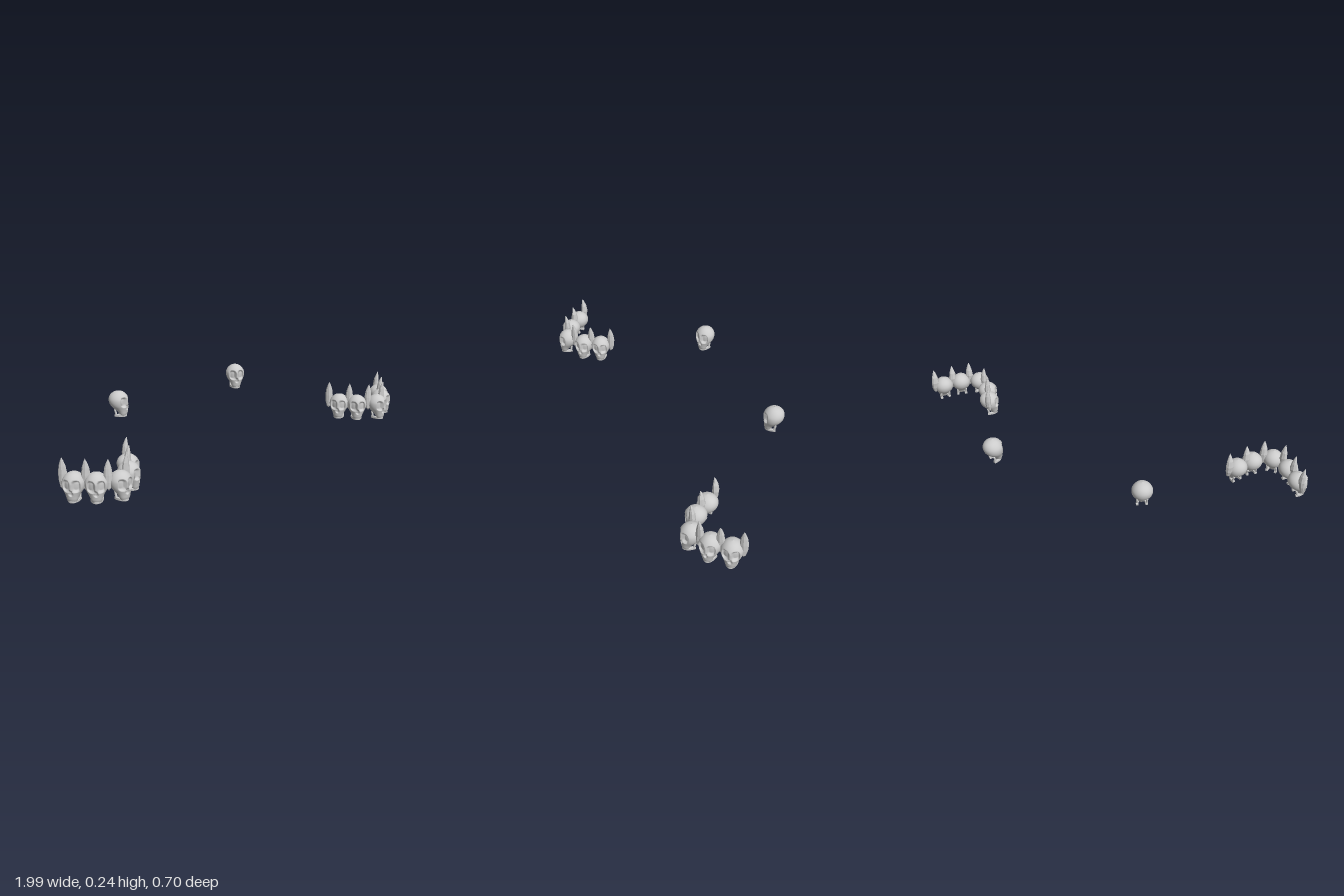
import * as THREE from 'three';

const bone = new THREE.MeshStandardMaterial({ color: 0xcccccc, side: THREE.DoubleSide });
const horn = new THREE.MeshStandardMaterial({ color: 0xcccccc, flatShading: true });

// Skull sections: height, half width, front z, back z
const SECTIONS = [
  [0.003, 0.018, 0.035, 0.008], [0.015, 0.023, 0.04, 0.002], [0.028, 0.028, 0.042, -0.008],
  [0.04, 0.035, 0.044, -0.026], [0.054, 0.043, 0.046, -0.04], [0.07, 0.047, 0.047, -0.047],
  [0.086, 0.046, 0.046, -0.048], [0.103, 0.037, 0.036, -0.041], [0.116, 0.022, 0.021, -0.025],
  [0.123, 0.001, 0, -0.002],
];

// Depth of a rounded hollow centred at cx, cy
function hollow(x, y, cx, cy, rx, ry) {
  const d = Math.pow(Math.abs((x - cx) / rx), 3) + Math.pow(Math.abs((y - cy) / ry), 3);
  return 1 - THREE.MathUtils.smoothstep(d, 0.5, 1.5);
}

function skullGeometry() {
  const rings = 40, sides = 64, pos = [], idx = [];
  const widths = new THREE.CatmullRomCurve3(SECTIONS.map(s => new THREE.Vector3(s[1], s[0], s[2])));
  const backs = new THREE.CatmullRomCurve3(SECTIONS.map(s => new THREE.Vector3(s[3], s[0], 0)));
  for (let i = 0; i <= rings; i++) {
    const p = widths.getPoint(i / rings), b = backs.getPoint(i / rings);
    const mid = (p.z + b.x) / 2, depth = (p.z - b.x) / 2;
    for (let j = 0; j < sides; j++) {
      const a = j / sides * Math.PI * 2;
      const x = p.x * Math.sin(a), y = p.y;
      let z = mid + depth * Math.cos(a);
      if (Math.cos(a) > 0) {
        // Eye sockets, nose and the groove between the brows
        z -= 0.015 * hollow(Math.abs(x), y, 0.02, 0.072, 0.014, 0.021);
        z -= 0.008 * hollow(x, y, 0, 0.044, 0.007, 0.011);
      }
      pos.push(x, y, z);
    }
  }
  for (let i = 0; i < rings; i++) for (let j = 0; j < sides; j++) {
    const k = (j + 1) % sides, a = i * sides + j, b = i * sides + k;
    idx.push(a, b, a + sides, b, b + sides, a + sides);
  }
  // Close the bottom
  const c = pos.length / 3;
  pos.push(0, 0.003, 0.021);
  for (let j = 0; j < sides; j++) idx.push(c, (j + 1) % sides, j);
  const g = new THREE.BufferGeometry();
  g.setAttribute('position', new THREE.Float32BufferAttribute(pos, 3));
  g.setIndex(idx);
  g.computeVertexNormals();
  return g;
}

// U-shaped lower jaw, opening to the back
function jawGeometry() {
  const s = new THREE.Shape();
  s.moveTo(-0.025, 0.012);
  s.bezierCurveTo(-0.024, -0.05, 0.024, -0.05, 0.025, 0.012);
  s.lineTo(0.017, 0.012);
  s.bezierCurveTo(0.016, -0.036, -0.016, -0.036, -0.017, 0.012);
  const g = new THREE.ExtrudeGeometry(s, {
    depth: 0.008, bevelEnabled: true, bevelSize: 0.002, bevelThickness: 0.002, bevelSegments: 2, curveSegments: 16,
  });
  g.rotateX(-Math.PI / 2).scale(1, 1, 1);
  g.translate(0, 0.002, 0.002);
  return g;
}

// Leaf-shaped horn, bowed backwards in the middle
function hornGeometry() {
  const profile = [[0, 0.045], [0.01, 0.055], [0.017, 0.08], [0.019, 0.11], [0.015, 0.14], [0.007, 0.165], [0, 0.18]];
  const g = new THREE.LatheGeometry(profile.map(p => new THREE.Vector2(...p)), 8);
  const p = g.attributes.position;
  for (let i = 0; i < p.count; i++) {
    const t = (p.getY(i) - 0.045) / 0.135;
    p.setZ(i, p.getZ(i) * 0.8 - 0.03 * t * (1 - t));
  }
  g.computeVertexNormals();
  return g;
}

export function createModel() {
  const model = new THREE.Group();
  const skullGeo = skullGeometry(), jawGeo = jawGeometry(), hornGeo = hornGeometry();
  const ramusGeo = new THREE.CapsuleGeometry(0.005, 0.022, 4, 8);

  function addMesh(parent, geo, mat, name) {
    const m = new THREE.Mesh(geo, mat);
    m.name = name;
    parent.add(m);
    return m;
  }

  function addSkull(parent, x, y, z, yaw) {
    const skull = new THREE.Group();
    skull.name = 'skull';
    addMesh(skull, skullGeo, bone, 'cranium');
    addMesh(skull, jawGeo, bone, 'lowerJaw');
    for (const s of [-1, 1]) {
      const r = addMesh(skull, ramusGeo, bone, 'jawHinge');
      r.position.set(s * 0.022, 0.021, -0.008);
      r.rotation.x = -0.25;
    }
    skull.position.set(x, y, z);
    skull.rotation.y = THREE.MathUtils.degToRad(yaw);
    parent.add(skull);
  }

  // Each row: x, z, yaw on the left side, mirrored for the right
  const skulls = [[0.662, 0.163, -58], [0.712, 0.238, -42], [0.797, 0.298, 0], [0.884, 0.252, 38], [0.947, 0.185, 52]];
  const horns = [[0.634, 0.118, -50], [0.687, 0.207, -48], [0.751, 0.279, -25], [0.85, 0.288, 22], [0.916, 0.225, 42], [0.977, 0.15, 50]];
  for (const side of [1, -1]) {
    const chain = new THREE.Group();
    chain.name = side > 0 ? 'leftSkullRow' : 'rightSkullRow';
    for (const [x, z, yaw] of skulls) addSkull(chain, side * x, 0, z, side * yaw);
    for (const [x, z, yaw] of horns) {
      const h = addMesh(chain, hornGeo, horn, 'horn');
      h.position.set(side * x, 0, z);
      h.rotation.y = THREE.MathUtils.degToRad(side * yaw);
    }
    model.add(chain);
    // Single skull behind, turned inward
    addSkull(model, side * 0.37, 0.115, -0.302, side * -28);
  }
  return model;
}
